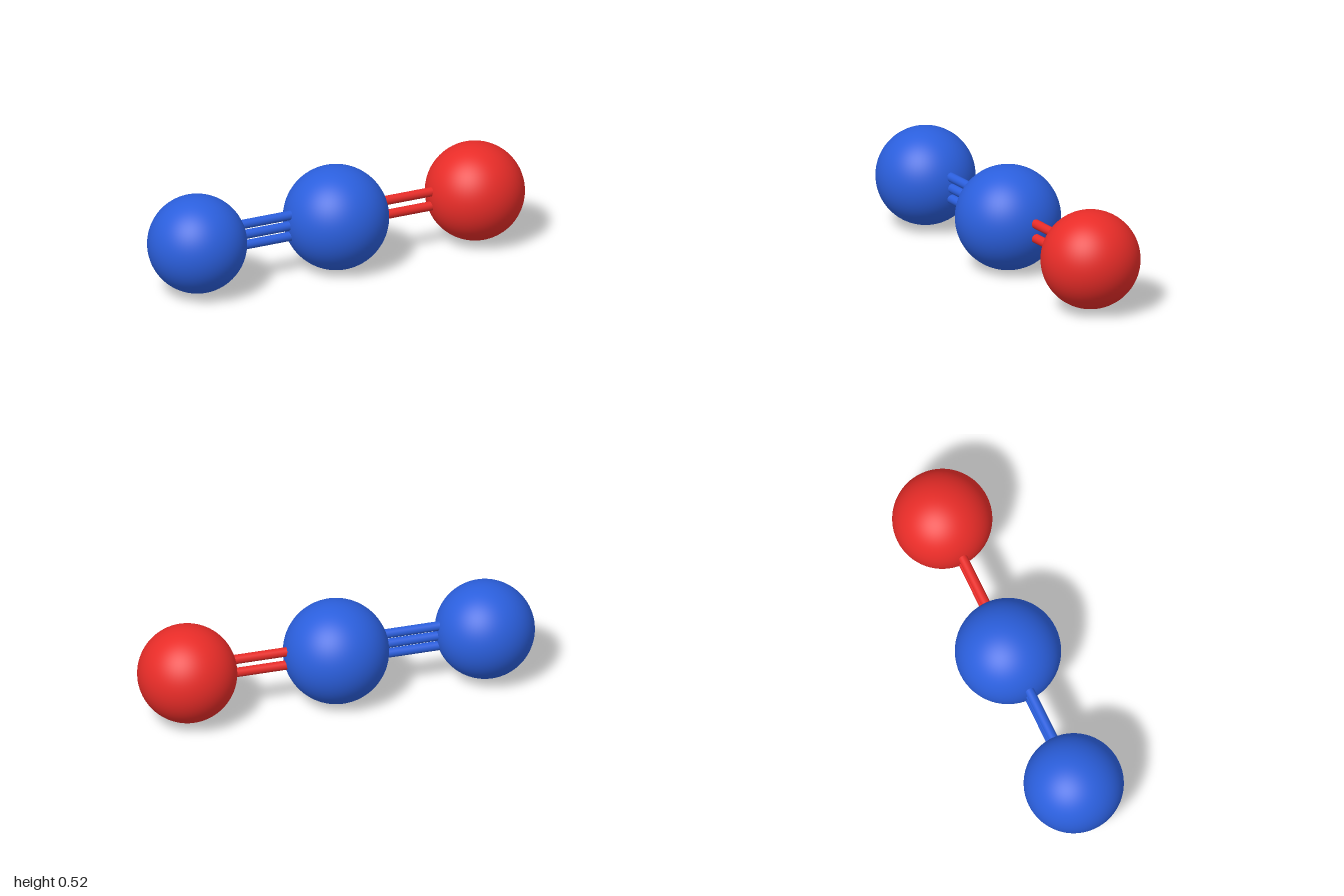
import * as THREE from 'three';

export function createModel() {
  const group = new THREE.Group();
  const blue = new THREE.MeshStandardMaterial({ color: 0x2b5fdd });
  const red = new THREE.MeshStandardMaterial({ color: 0xe82c28 });
  const midY = 0.259, reach = 0.756;

  // Atoms
  const addAtom = (name, x, radius, material) => {
    const atom = new THREE.Mesh(new THREE.SphereGeometry(radius, 64, 48), material);
    atom.name = name;
    atom.position.set(x, midY, 0);
    group.add(atom);
  };
  addAtom('rightAtom', -reach, 0.244, blue);
  addAtom('centreAtom', 0, 0.259, blue);
  addAtom('leftAtom', reach, 0.244, red);

  // Bonds: parallel rods stacked vertically, running between atom centres
  const addBond = (name, side, offsets, material) => {
    const bond = new THREE.Group();
    bond.name = name;
    const rod = new THREE.CylinderGeometry(0.023, 0.023, reach, 24).rotateZ(Math.PI / 2);
    offsets.forEach((offset, i) => {
      const mesh = new THREE.Mesh(rod, material);
      mesh.name = `${name}Rod${i + 1}`;
      mesh.position.set(side * reach / 2, midY + offset, 0);
      bond.add(mesh);
    });
    group.add(bond);
  };
  addBond('tripleBond', -1, [-0.055, 0, 0.055], blue);
  addBond('doubleBond', 1, [-0.037, 0.037], red);

  return group;
}
